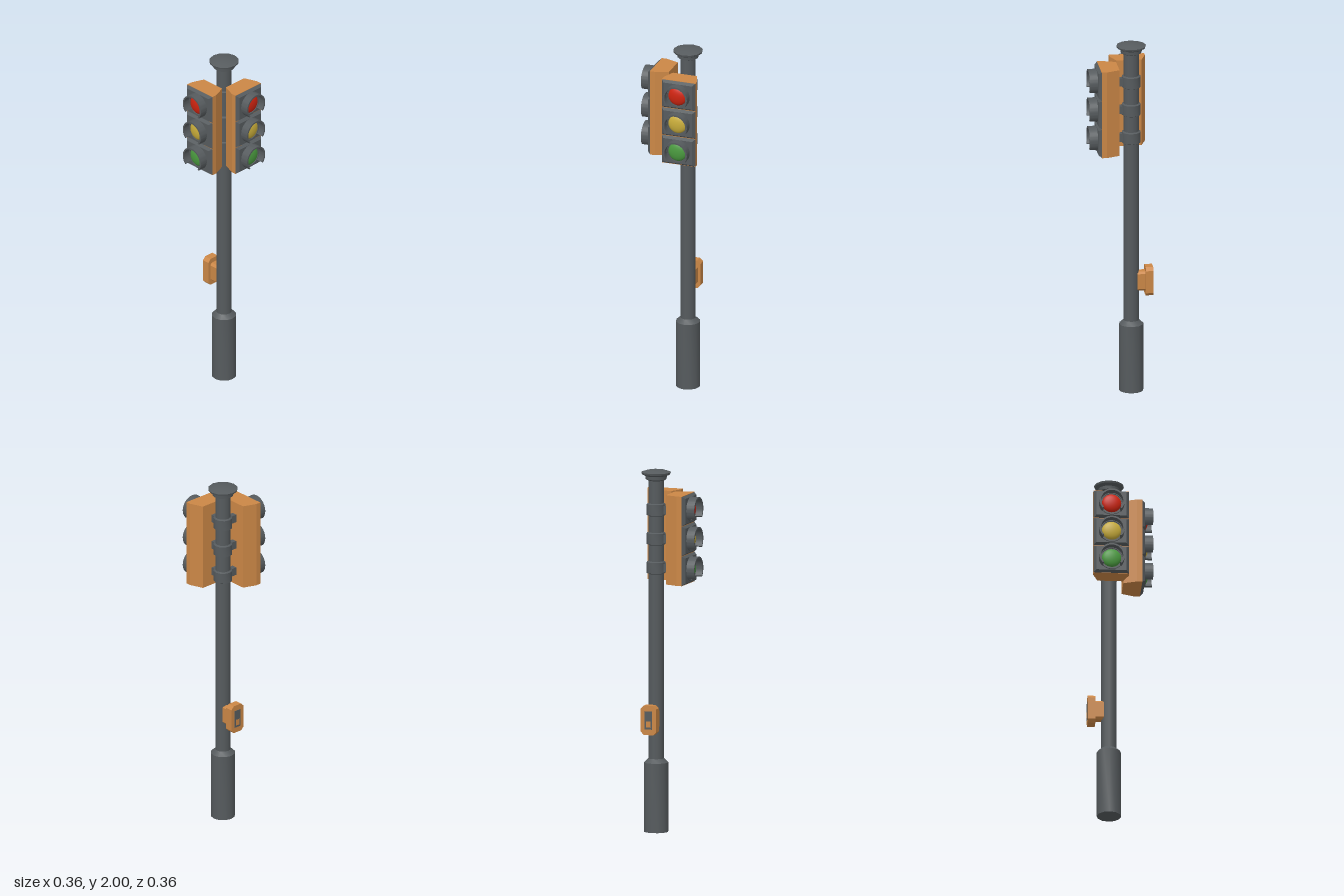
import * as THREE from 'three';
import { toCreasedNormals } from 'three/addons/utils/BufferGeometryUtils.js';

const material = (name, color) => {
  const m = new THREE.MeshStandardMaterial({ color });
  m.name = name;
  return m;
};

export function createModel() {
  const grey = material('dark grey metal', 0x565b5e);
  const orange = material('orange housing', 0xcb8746);
  const red = material('red lens', 0xcf2410);
  const yellow = material('yellow lens', 0xc9ad3a);
  const green = material('green lens', 0x4a9a3f);

  const model = new THREE.Group();
  model.name = 'trafficLight';
  const PX = -0.06, PZ = -0.073;

  const add = (parent, name, geometry, mat, x = 0, y = 0, z = 0) => {
    const mesh = new THREE.Mesh(geometry, mat);
    mesh.name = name;
    mesh.position.set(x, y, z);
    parent.add(mesh);
    return mesh;
  };
  const lathe = (points) => toCreasedNormals(
    new THREE.LatheGeometry(points.map(([r, y]) => new THREE.Vector2(r, y)), 12), 0.56);
  const extrude = (shape, depth) => toCreasedNormals(
    new THREE.ExtrudeGeometry(shape, { depth, bevelEnabled: false, curveSegments: 20 }), 0.56);

  // Pole: wide base, slim shaft, domed cap
  add(model, 'poleBase', lathe([[0, 0], [0.067, 0], [0.067, 0.383], [0.043, 0.405]]), grey, PX, 0, PZ);
  add(model, 'poleShaft', new THREE.CylinderGeometry(0.042, 0.042, 1.56, 12, 1, true), grey, PX, 1.17, PZ);
  add(model, 'poleCap', lathe([[0.042, 1.94], [0.058, 1.948], [0.06, 1.966], [0.079, 1.976],
    [0.082, 1.986], [0.05, 1.996], [0, 2]]), grey, PX, 0, PZ);

  // Clamp bands with arms reaching to both signal heads
  for (const y of [1.78, 1.62, 1.46]) {
    add(model, 'clampBand', lathe([[0.042, -0.035], [0.052, -0.03], [0.052, 0.03], [0.042, 0.035]]),
      grey, PX, y, PZ);
    add(model, 'frontArm', new THREE.BoxGeometry(0.03, 0.045, 0.06), grey, PX, y, -0.015);
    add(model, 'sideArm', new THREE.BoxGeometry(0.05, 0.045, 0.03), grey, -0.008, y, PZ);
  }

  // Signal head parts, facing +z with the back at z = 0
  const housingShape = new THREE.Shape([[-0.07, 0], [0.07, 0], [0.0975, -0.073],
    [0.0975, -0.102], [-0.0975, -0.102], [-0.0975, -0.073]].map(([x, y]) => new THREE.Vector2(x, y)));
  const housing = new THREE.ExtrudeGeometry(housingShape, { depth: 0.494, bevelEnabled: false });
  housing.rotateX(-Math.PI / 2);

  // Square bevelled lamp panel
  const panel = new THREE.CylinderGeometry(0.083 * Math.SQRT2, 0.0975 * Math.SQRT2, 0.017, 4)
    .rotateY(Math.PI / 4).rotateX(Math.PI / 2).scale(1, 0.0815 / 0.0975, 1).toNonIndexed();
  panel.computeVertexNormals();

  // Visor hood, open at the bottom
  const dip = 0.75;
  const hoodShape = new THREE.Shape();
  hoodShape.absarc(0, 0, 0.07, -dip, Math.PI + dip, false);
  hoodShape.absarc(0, 0, 0.061, Math.PI + dip, -dip, true);
  const hood = extrude(hoodShape, 0.047);

  // Full ring around the lens
  const ringShape = new THREE.Shape();
  ringShape.absarc(0, 0, 0.066, 0, Math.PI * 2, false);
  const ringHole = new THREE.Path();
  ringHole.absarc(0, 0, 0.057, 0, Math.PI * 2, true);
  ringShape.holes.push(ringHole);
  const ring = extrude(ringShape, 0.008);

  const lens = new THREE.SphereGeometry(0.053, 24, 8, 0, Math.PI * 2, 0, Math.PI / 2)
    .rotateX(Math.PI / 2).scale(1, 1, 0.4);

  const addHead = (name, x, z, turn) => {
    const head = new THREE.Group();
    head.name = name;
    head.position.set(x, 1.379, z);
    head.rotation.y = turn;
    model.add(head);
    add(head, 'housing', housing, orange);
    [green, yellow, red].forEach((colour, i) => {
      const y = 0.0825 + i * 0.1645;
      add(head, 'lampPanel', panel, grey, 0, y, 0.1095);
      add(head, 'lensRing', ring, grey, 0, y, 0.117);
      add(head, 'visor', hood, grey, 0, y, 0.117);
      add(head, 'lens', lens, colour, 0, y, 0.118);
    });
  };
  addHead('frontSignalHead', PX, 0.012, 0);
  addHead('sideSignalHead', 0.015, -0.082, Math.PI / 2);

  // Push-button box on the pole, facing -x
  const chamferedPlate = (w, h, c, depth) => {
    const a = w / 2, b = h / 2;
    const shape = new THREE.Shape([[a, -b + c], [a, b - c], [a - c, b], [-a + c, b],
      [-a, b - c], [-a, -b + c], [-a + c, -b], [a - c, -b]].map(([x, y]) => new THREE.Vector2(x, y)));
    return new THREE.ExtrudeGeometry(shape, { depth, bevelEnabled: false });
  };
  const box = new THREE.Group();
  box.name = 'pushButtonBox';
  box.position.set(-0.09, 0.63, PZ);
  box.rotation.y = -Math.PI / 2;
  model.add(box);
  add(box, 'buttonMount', chamferedPlate(0.06, 0.11, 0.012, 0.06), orange);
  add(box, 'buttonCase', chamferedPlate(0.09, 0.163, 0.018, 0.042), orange, 0, 0, 0.046);
  add(box, 'buttonRecess', new THREE.BoxGeometry(0.044, 0.1, 0.004), grey, 0, 0, 0.088);
  add(box, 'pushButton', new THREE.BoxGeometry(0.026, 0.034, 0.004), orange, 0, -0.022, 0.089);

  return model;
}
